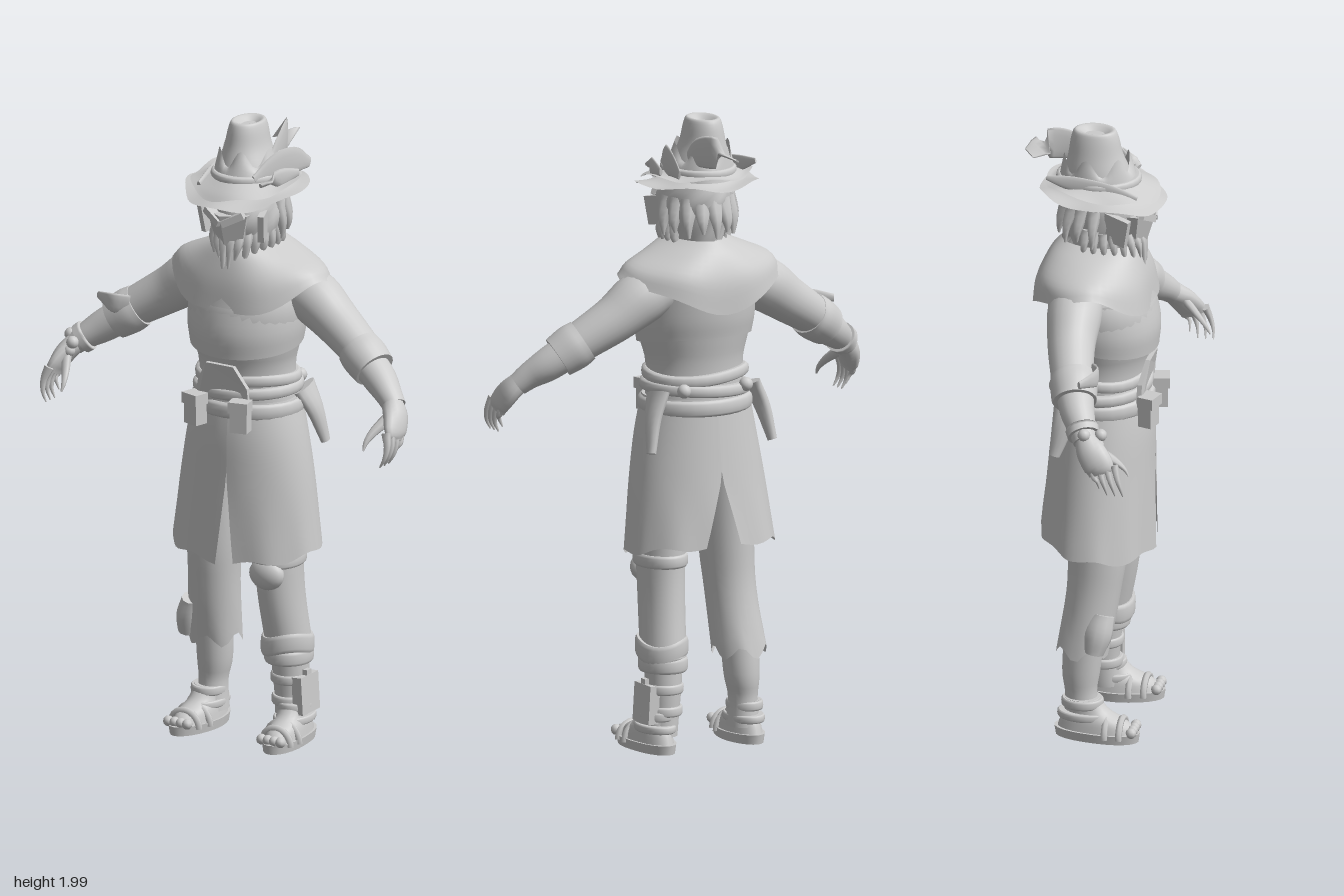
import * as THREE from 'three';

const clay = new THREE.MeshStandardMaterial({ color: 0xcccccc, side: THREE.DoubleSide });
clay.name = 'pale grey';
const V = (x, y, z) => new THREE.Vector3(x, y, z);
const { sin, cos, PI } = Math;

// Smooth skin over ellipses; each row is [x, y, z, halfWidth, halfDepth].
// level keeps the rings horizontal, arc(t) limits the angle, warp(p, angle, t) bends points.
function loft(rows, { seg = 24, steps = 4, level = false, arc, warp, cap = true } = {}) {
  const path = new THREE.CatmullRomCurve3(rows.map(r => V(r[0], r[1], r[2])), false, 'catmullrom');
  const size = new THREE.CatmullRomCurve3(rows.map(r => V(r[3], r[4], 0)), false, 'catmullrom');
  const n = (rows.length - 1) * steps, pos = [], idx = [], wrap = !arc, w = wrap ? seg : seg + 1;
  const ring = i => {
    const t = i / n, c = path.getPoint(t), s = size.getPoint(t), out = [];
    const T = level ? V(0, 1, 0) : path.getTangent(t);
    const ref = Math.abs(T.z) > 0.85 ? V(0, 1, 0) : V(0, 0, 1);
    const v = ref.addScaledVector(T, -ref.dot(T)).normalize(), u = T.clone().cross(v);
    const [a0, a1] = arc ? arc(t) : [0, 2 * PI];
    for (let j = 0; j < w; j++) {
      const a = a0 + (a1 - a0) * j / seg;
      const p = c.clone().addScaledVector(u, cos(a) * s.x).addScaledVector(v, sin(a) * s.y);
      if (warp) warp(p, a, t);
      out.push(p);
    }
    return out;
  };
  for (let i = 0; i <= n; i++) {
    ring(i).forEach(p => pos.push(p.x, p.y, p.z));
    for (let j = 0; i < n && j < seg; j++) {
      const a = i * w + j, b = i * w + (j + 1) % w;
      idx.push(a, a + w, b, b, a + w, b + w);
    }
  }
  if (cap && wrap) for (const end of [0, n]) {
    const pts = ring(end), k = pos.length / 3;
    const mid = pts.reduce((m, p) => m.add(p), V(0, 0, 0)).divideScalar(w);
    [...pts, mid].forEach(p => pos.push(p.x, p.y, p.z));
    for (let j = 0; j < w; j++) {
      const q = k + (j + 1) % w;
      end ? idx.push(k + j, k + w, q) : idx.push(k + j, q, k + w);
    }
  }
  const g = new THREE.BufferGeometry();
  g.setAttribute('position', new THREE.Float32BufferAttribute(pos, 3));
  g.setIndex(idx);
  g.computeVertexNormals();
  return g;
}

export function createModel() {
  const model = new THREE.Group();
  const add = (name, geo, parent = model) => {
    const m = new THREE.Mesh(geo, clay);
    m.name = name;
    parent.add(m);
    return m;
  };
  const group = name => {
    const g = new THREE.Group();
    g.name = name;
    model.add(g);
    return g;
  };
  const box = (name, size, at, rot = [0, 0, 0], parent = model) => {
    const m = add(name, new THREE.BoxGeometry(...size), parent);
    m.position.set(...at);
    m.rotation.set(...rot);
  };
  // short rolled band around a limb or the waist
  const band = (name, x, y, z, rx, rz, h, parent = model, warp) => add(name, loft(
    [[x, y - h, z, rx * 0.94, rz * 0.94], [x, y - h * 0.6, z, rx, rz], [x, y + h * 0.6, z, rx, rz], [x, y + h, z, rx * 0.94, rz * 0.94]],
    { level: true, steps: 2, seg: 28, warp }), parent);
  const taper = (name, pts, r, parent) => add(name, loft(
    pts.map((p, i) => [...p, r * (1 - 0.85 * i / (pts.length - 1)), r * 0.7 * (1 - 0.85 * i / (pts.length - 1))]), { seg: 7, steps: 3 }), parent);

  // Torso, vest and shoulder cape
  add('torso', loft([[0, 1.0, 0, 0.17, 0.13], [0, 1.2, 0.005, 0.155, 0.135], [0, 1.3, 0.01, 0.175, 0.155],
    [0, 1.42, 0, 0.195, 0.165], [0, 1.53, -0.02, 0.16, 0.13], [0, 1.62, 0, 0.07, 0.09]], { level: true, seg: 32 }));
  add('vest', loft([[0, 1.29, 0.008, 0.182, 0.165], [0, 1.36, 0.005, 0.192, 0.173], [0, 1.46, -0.01, 0.19, 0.165]],
    { level: true, seg: 36, cap: false, warp: (p, a, t) => { p.y -= (1 - t) * 0.025 * sin(a); } }));
  add('shoulderCape', loft([[0, 1.615, -0.01, 0.085, 0.12], [0, 1.575, -0.02, 0.16, 0.15], [0, 1.52, -0.025, 0.24, 0.177],
    [0, 1.455, -0.022, 0.27, 0.188]], { level: true, seg: 48, cap: false, warp: (p, a, t) => {
    p.y += t * t * (0.055 * cos(a) ** 2 - 0.05 * sin(a) ** 2 + 0.01 * sin(5 * a));
    p.z *= 1 + 0.03 * t * cos(6 * a);
  } }));

  // Belt, apron plate, pouches and holsters
  const belt = group('belt');
  band('lowerBelt', 0, 1.09, 0, 0.183, 0.16, 0.025, belt);
  band('middleBelt', 0, 1.14, 0, 0.178, 0.155, 0.018, belt, (p, a) => { p.y += 0.01 * cos(a); });
  band('upperBelt', 0, 1.18, 0, 0.17, 0.15, 0.018, belt, (p, a) => { p.y += 0.008 * sin(a * 2); });
  const apron = new THREE.Shape([[-0.1, 0], [0.1, 0], [0.09, 0.1], [0.05, 0.17], [-0.05, 0.17], [-0.09, 0.1]].map(p => new THREE.Vector2(...p)));
  const apronGeo = new THREE.ExtrudeGeometry(apron, { depth: 0.015, bevelEnabled: false });
  const ap = apronGeo.attributes.position;
  for (let i = 0; i < ap.count; i++) ap.setZ(i, ap.getZ(i) - 3 * ap.getX(i) ** 2);
  apronGeo.computeVertexNormals();
  add('apronPlate', apronGeo, belt).position.set(-0.005, 1.07, 0.155);
  for (const x of [-0.09, 0.075]) {
    box('pouch', [0.055, 0.095, 0.045], [x, 1.085, 0.165], [0, x * 3, 0], belt);
    box('pouchFlap', [0.064, 0.035, 0.052], [x, 1.12, 0.168], [0, x * 3, 0], belt);
  }
  for (const s of [-1, 1]) {
    add('holster', loft([[s * 0.165, 1.14, -0.06, 0.022, 0.055], [s * 0.195, 1.06, -0.08, 0.022, 0.035],
      [s * 0.215, 0.96, -0.105, 0.014, 0.018]], { seg: 12 }), belt);
    add('beltKnob', new THREE.SphereGeometry(0.022, 12, 8), belt).position.set(s * 0.11, 1.15, -0.125);
  }

  // Split skirt: one panel on each side, parted at front and back
  const skirt = group('skirt');
  const rows = [[0, 1.12, 0, 0.172, 0.145], [0, 1.0, 0.002, 0.197, 0.157], [-0.003, 0.85, -0.003, 0.222, 0.165], [-0.01, 0.63, -0.01, 0.25, 0.178]];
  const gap = t => Math.max(0, t - 0.62) / 0.38;
  const hem = (p, a, t) => {
    const k = Math.max(0, t - 0.7) / 0.3;
    p.y += k * (-0.03 * sin(a) + 0.008 * sin(a * 7) + 0.01 * p.x);
    p.z += 0.004 * k * sin(a * 9);
  };
  add('leftPanel', loft(rows, { level: true, seg: 28, warp: hem, arc: t => [-PI / 2 + 0.28 * gap(t), PI / 2 - 0.1 - 0.12 * gap(t)] }), skirt);
  add('rightPanel', loft(rows, { level: true, seg: 28, warp: hem, arc: t => [PI / 2 - 0.1 + 0.12 * gap(t), PI * 1.5 - 0.2 * gap(t)] }), skirt);

  // Right leg with ragged trouser
  const rightLeg = group('rightLeg');
  add('trouser', loft([[-0.1, 0.98, 0, 0.09, 0.1], [-0.115, 0.65, 0.01, 0.085, 0.095], [-0.125, 0.48, 0, 0.08, 0.085], [-0.14, 0.29, -0.03, 0.085, 0.085]],
    { level: true, cap: false, warp: (p, a, t) => { if (t > 0.8) p.y += (t - 0.8) * 0.1 * sin(a * 5 + 1); } }), rightLeg);
  add('trouserFlap', loft([[-0.18, 0.42, 0.04, 0.03, 0.04], [-0.2, 0.36, 0.03, 0.035, 0.045], [-0.21, 0.3, 0.02, 0.03, 0.03]], { seg: 10 }), rightLeg);
  add('shin', loft([[-0.14, 0.4, -0.02, 0.06, 0.065], [-0.145, 0.22, -0.035, 0.055, 0.06], [-0.15, 0.14, -0.035, 0.045, 0.05], [-0.15, 0.05, -0.03, 0.05, 0.06]], { level: true }), rightLeg);

  // Left leg with knee pad, wraps and shin pouch
  const leftLeg = group('leftLeg');
  add('legTrouser', loft([[0.1, 0.98, 0, 0.09, 0.1], [0.115, 0.65, 0.01, 0.075, 0.09], [0.12, 0.48, 0, 0.07, 0.085], [0.13, 0.3, -0.03, 0.07, 0.08]], { level: true }), leftLeg);
  add('legShin', loft([[0.13, 0.3, -0.03, 0.06, 0.065], [0.133, 0.2, -0.035, 0.055, 0.06], [0.135, 0.12, -0.035, 0.05, 0.055], [0.14, 0.05, -0.03, 0.05, 0.06]], { level: true }), leftLeg);
  const pad = add('kneePad', new THREE.SphereGeometry(0.06, 16, 12), leftLeg);
  pad.scale.set(1, 0.85, 0.6);
  pad.position.set(0.12, 0.56, 0.085);
  band('kneeStrap', 0.118, 0.6, 0.01, 0.08, 0.1, 0.02, leftLeg);
  band('upperWrap', 0.13, 0.32, -0.02, 0.08, 0.09, 0.03, leftLeg, (p, a) => { p.y += 0.012 * sin(a * 2); });
  band('lowerWrap', 0.13, 0.275, -0.028, 0.075, 0.083, 0.022, leftLeg);
  band('pouchStrap', 0.135, 0.2, -0.035, 0.064, 0.068, 0.015, leftLeg);
  band('pouchStrap', 0.135, 0.13, -0.035, 0.06, 0.066, 0.015, leftLeg);
  box('shinPouch', [0.035, 0.12, 0.1], [0.19, 0.155, -0.03], [0, 0, 0.06], leftLeg);
  box('pouchClasp', [0.025, 0.025, 0.025], [0.19, 0.22, -0.03], [0, 0, 0], leftLeg);

  // Sandals
  for (const [x, leg] of [[-0.16, rightLeg], [0.155, leftLeg]]) {
    const arch = (p, a) => { p.x += (p.z > 0 ? 0.1 : 0) * p.z * Math.sign(x); };
    add('sole', loft([[x, 0, 0.02, 0.058, 0.133], [x, 0.03, 0.02, 0.063, 0.138]], { level: true, warp: arch }), leg);
    add('foot', loft([[x, 0.025, 0.02, 0.057, 0.128], [x, 0.06, 0.012, 0.052, 0.108], [x, 0.09, -0.01, 0.045, 0.07], [x, 0.13, -0.03, 0.046, 0.055]], { level: true, warp: arch }), leg);
    band('ankleStrap', x, 0.115, -0.028, 0.055, 0.066, 0.014, leg);
    band('heelStrap', x, 0.075, -0.022, 0.058, 0.085, 0.012, leg);
    for (const [z, r] of [[0.055, 0.06], [0.1, 0.052]]) {
      const strap = add('toeStrap', new THREE.TorusGeometry(r, 0.011, 6, 14, PI), leg);
      strap.position.set(x + z * 0.1 * Math.sign(x), 0.018, z);
    }
    for (let i = 0; i < 4; i++) {
      const toe = add('toe', new THREE.SphereGeometry(0.017, 8, 6), leg);
      toe.position.set(x - 0.034 + i * 0.023 + 0.013 * Math.sign(x), 0.04, 0.137);
    }
  }

  // Arms, cuffs and curled hands
  for (const s of [1, -1]) {
    const arm = group(s > 0 ? 'leftArm' : 'rightArm');
    const m = r => r.map(p => [p[0] * s, ...p.slice(1)]);
    add('sleeve', loft(m([[0.15, 1.47, -0.045, 0.075, 0.08], [0.22, 1.44, -0.04, 0.085, 0.085], [0.3, 1.385, -0.03, 0.074, 0.075],
      [0.38, 1.335, -0.01, 0.066, 0.068], [0.46, 1.285, 0.015, 0.058, 0.062]])), arm);
    add('cuff', loft(m([[0.4, 1.32, -0.002, 0.068, 0.07], [0.43, 1.3, 0.008, 0.072, 0.074], [0.475, 1.27, 0.022, 0.066, 0.068]])), arm);
    add('forearm', loft(m([[0.42, 1.305, 0.005, 0.055, 0.06], [0.5, 1.25, 0.035, 0.052, 0.054], [0.55, 1.215, 0.062, 0.042, 0.044], [0.585, 1.185, 0.08, 0.035, 0.037]])), arm);
    add('palm', loft(m([[0.57, 1.2, 0.075, 0.034, 0.03], [0.6, 1.165, 0.1, 0.032, 0.045], [0.618, 1.125, 0.13, 0.024, 0.048], [0.622, 1.1, 0.14, 0.015, 0.04]]), { seg: 14 }), arm);
    for (let i = 0; i < 4; i++) {
      const z = 0.105 + i * 0.025, d = i === 0 ? 0.02 : 0;
      taper('finger', m([[0.616, 1.13, z], [0.628, 1.09, z + 0.012], [0.625, 1.055 + d, z + 0.022], [0.61, 1.025 + d, z + 0.026]]), 0.017, arm);
    }
    taper('thumb', m([[0.59, 1.16, 0.12], [0.565, 1.125, 0.165], [0.553, 1.095, 0.195], [0.552, 1.07, 0.21]]), 0.021, arm);
  }
  add('cuffFlap', loft([[-0.4, 1.335, 0.06, 0.035, 0.006], [-0.45, 1.345, 0.085, 0.03, 0.006], [-0.52, 1.345, 0.045, 0.012, 0.006]], { seg: 10 }));
  add('wristBand', loft([[-0.55, 1.215, 0.062, 0.05, 0.052], [-0.57, 1.2, 0.072, 0.048, 0.05]], { seg: 16 }));
  for (const [x, y, z] of [[-0.6, 1.215, 0.08], [-0.565, 1.205, 0.125], [-0.58, 1.175, 0.12]])
    add('bead', new THREE.SphereGeometry(0.02, 10, 8)).position.set(x, y, z);

  // Head with angular face mask, shaggy hair and beard
  const head = group('head');
  add('skull', loft([[0, 1.55, 0, 0.07, 0.085], [0.005, 1.62, 0, 0.09, 0.105], [0.008, 1.69, 0.005, 0.105, 0.13], [0.005, 1.75, 0, 0.105, 0.135], [0, 1.82, -0.01, 0.085, 0.11]],
    { level: true, seg: 32, warp: (p, a) => { p.x *= 1 + 0.03 * sin(9 * a + p.y * 60); p.z *= 1 + 0.02 * cos(8 * a + p.y * 70); } }), head);
  const mask = new THREE.CylinderGeometry(0.085, 0.055, 0.1, 6, 1).toNonIndexed();
  mask.computeVertexNormals();
  add('faceMask', mask, head).position.set(0, 1.675, 0.085);
  for (const s of [-1, 1]) {
    box('maskRidge', [0.075, 0.022, 0.03], [s * 0.034, 1.715, 0.145], [0, s * 0.35, s * 0.45], head);
    box('cheekGuard', [0.02, 0.09, 0.09], [s * 0.095, 1.69, 0.06], [0.2, s * 0.3, -s * 0.1], head);
  }
  for (let i = 0; i < 16; i++) {
    const a = PI * (-0.1 + 1.2 * i / 15), c = cos(a), f = sin(a), drop = 0.03 * (i % 3);
    taper('beardTuft', [[c * 0.085, 1.67 - 0.02 * f, f * 0.11], [c * 0.1, 1.62, f * 0.13], [c * 0.075, 1.575 - drop * Math.max(0, f), f * 0.135]], 0.026, head);
  }
  for (let i = 0; i < 9; i++) {
    const a = PI * (1.02 + 0.96 * i / 8), c = cos(a), f = sin(a);
    taper('hairTuft', [[c * 0.09, 1.74, f * 0.11], [c * 0.115, 1.68, f * 0.135], [c * 0.115, 1.625 + 0.015 * (i % 2), f * 0.14]], 0.034, head);
  }

  // Tattered hat with double brim, dented crown and feathers
  const hat = group('hat');
  const brim = (name, y, r, phase) => add(name, loft([[-0.005, y + 0.035, -0.01, 0.095, 0.115], [-0.005, y + 0.012, 0, 0.14, 0.155], [-0.005, y, 0.002, r, r + 0.008]],
    { level: true, seg: 56, cap: false, warp: (p, a, t) => {
      p.y += t * (0.018 * cos(a) ** 2 - 0.018 * sin(a) + 0.007 * sin(5 * a + phase));
      p.x *= 1 + 0.025 * t * sin(7 * a + phase);
    } }), hat);
  brim('lowerBrim', 1.77, 0.19, 0);
  brim('upperBrim', 1.795, 0.17, 2);
  add('crown', loft([[-0.005, 1.78, -0.01, 0.1, 0.12], [-0.01, 1.85, -0.015, 0.087, 0.102], [-0.015, 1.91, -0.02, 0.068, 0.085],
    [-0.015, 1.965, -0.022, 0.056, 0.074], [-0.015, 1.988, -0.022, 0.045, 0.06], [-0.015, 1.972, -0.022, 0.02, 0.03]], { level: true, seg: 32 }), hat);
  add('tornBand', loft([[-0.005, 1.8, -0.012, 0.108, 0.128], [-0.008, 1.85, -0.015, 0.1, 0.115], [-0.012, 1.885, -0.018, 0.087, 0.102]],
    { level: true, seg: 48, cap: false, warp: (p, a, t) => { p.y += t * t * 0.028 * Math.sign(sin(6 * a + 0.7)) * Math.abs(sin(6 * a + 0.7)); } }), hat);
  band('hatBand', -0.005, 1.825, -0.012, 0.113, 0.133, 0.014, hat);
  const feather = (rows) => add('feather', loft(rows, { seg: 12 }), hat);
  feather([[0.055, 1.86, -0.04, 0.006, 0.012], [0.05, 1.895, -0.11, 0.006, 0.045], [0.025, 1.905, -0.18, 0.005, 0.05], [-0.02, 1.885, -0.23, 0.003, 0.025]]);
  feather([[0.07, 1.83, 0.08, 0.007, 0.015], [0.1, 1.855, 0.01, 0.007, 0.045], [0.125, 1.865, -0.06, 0.006, 0.045], [0.135, 1.84, -0.14, 0.004, 0.015]]);
  feather([[0.1, 1.82, 0.09, 0.007, 0.012], [0.135, 1.835, 0.03, 0.007, 0.03], [0.15, 1.835, -0.05, 0.005, 0.012]]);
  feather([[-0.1, 1.8, 0.13, 0.006, 0.012], [-0.105, 1.82, 0.04, 0.006, 0.025], [-0.115, 1.84, -0.07, 0.005, 0.025], [-0.13, 1.86, -0.15, 0.003, 0.008]]);
  return model;
}
